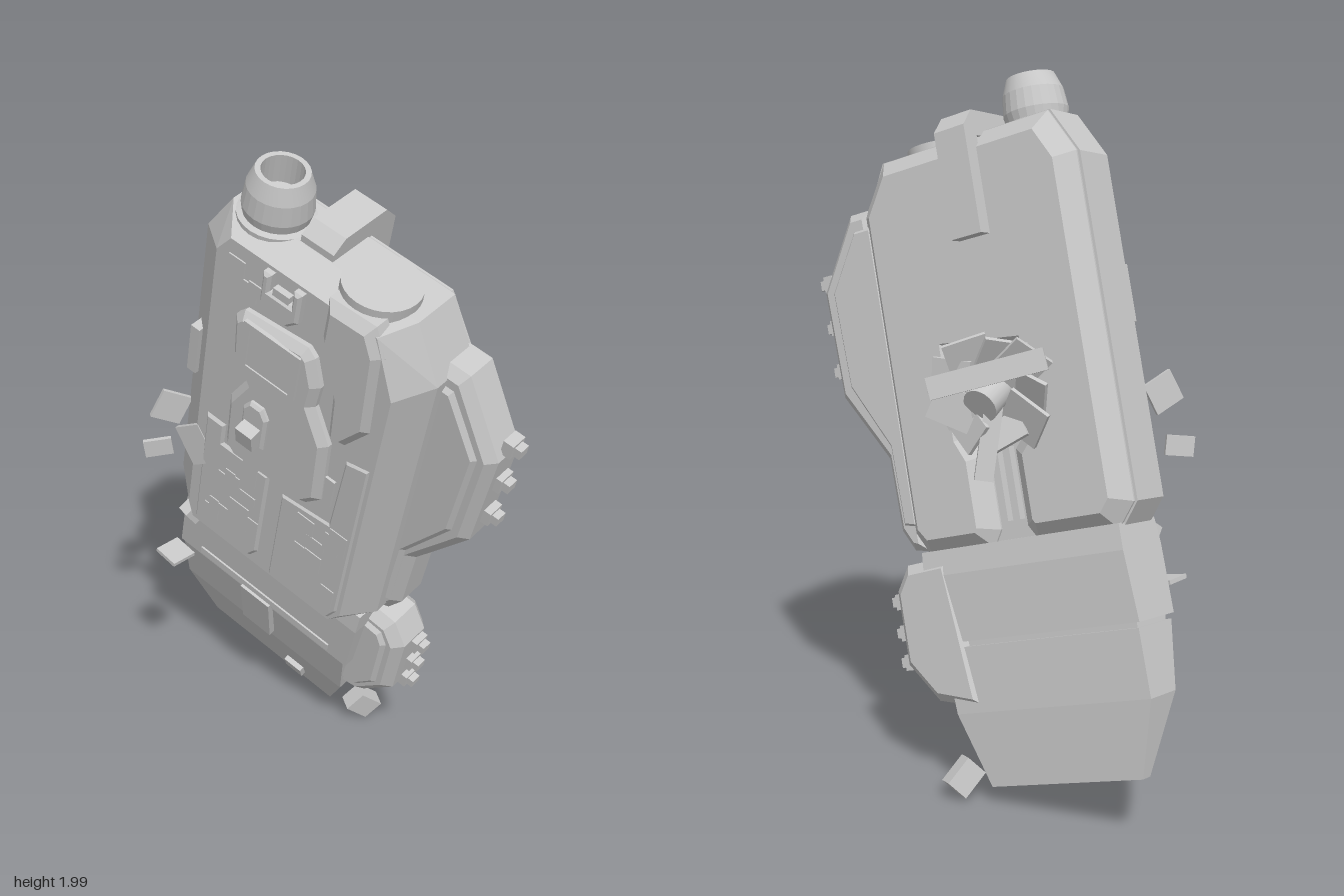
import * as THREE from 'three';
import { toCreasedNormals } from 'three/addons/utils/BufferGeometryUtils.js';
import { ConvexGeometry } from 'three/addons/geometries/ConvexGeometry.js';

export function createModel() {
  const gray = new THREE.MeshStandardMaterial({ color: 0xc8c8c8 });
  gray.name = 'plain gray';
  const model = new THREE.Group();
  model.name = 'brokenHandset';

  // The device is built upright (x width, y length, z thickness), then leaned.
  const device = new THREE.Group();
  device.name = 'device';
  const W = new THREE.Vector3(0.753, -0.282, 0.595).normalize();
  const U = new THREE.Vector3(0.124, 0.95, 0.285).normalize();
  const N = W.clone().cross(U).normalize();
  U.copy(N).cross(W);
  device.quaternion.setFromRotationMatrix(new THREE.Matrix4().makeBasis(W, U, N));
  device.position.y = 1;
  model.add(device);
  const front = new THREE.Group();
  front.name = 'frontDetails';
  front.position.set(0.01, 0, 0.013);
  device.add(front);

  const add = (name, geo, parent = device) => {
    const m = new THREE.Mesh(geo, gray);
    m.name = name;
    parent.add(m);
    return m;
  };
  // Flat outline given thickness from z0 to z1 with a chamfer on both rims
  const slab = (name, pts, z0, z1, bevel = 0.012, parent = device) => {
    const shape = new THREE.Shape(pts.map(p => new THREE.Vector2(p[0], p[1])));
    const geo = new THREE.ExtrudeGeometry(shape, {
      depth: z1 - z0 - 2 * bevel, bevelEnabled: true, bevelThickness: bevel,
      bevelSize: bevel, bevelOffset: -bevel, bevelSegments: 1,
    });
    geo.translate(0, 0, z0 + bevel);
    return add(name, geo, parent);
  };
  const box = (name, w, h, d, x, y, z, rx = 0, ry = 0, rz = 0, parent = device) => {
    const m = add(name, new THREE.BoxGeometry(w, h, d), parent);
    m.position.set(x, y, z);
    m.rotation.set(rx, ry, rz);
    return m;
  };
  // Convex block from rows of [y, xMin, xMax, zMin, zMax]
  const block = (name, rows) => add(name, new ConvexGeometry(rows.flatMap(([y, a, b, c, d]) => [
    new THREE.Vector3(a, y, c), new THREE.Vector3(b, y, c),
    new THREE.Vector3(a, y, d), new THREE.Vector3(b, y, d)])));

  // Main casing: straight sides with a wide chamfer towards the front face
  const sides = [[-0.35, -0.29], [0.26, -0.29], [0.325, -0.22], [0.325, 0.69],
    [0.235, 0.84], [-0.34, 0.84], [-0.41, 0.71], [-0.41, -0.22]];
  const face = [[-0.28, -0.26], [0.23, -0.26], [0.265, -0.21], [0.265, 0.66],
    [0.19, 0.82], [-0.26, 0.82], [-0.3, 0.76], [-0.3, -0.21]];
  add('casing', new ConvexGeometry([[sides, -0.05], [sides, 0.09], [face, 0.185]]
    .flatMap(([pts, z]) => pts.map(p => new THREE.Vector3(p[0], p[1], z)))));

  // Back cover with a broken pocket and slot
  slab('backCover', [[-0.35, -0.285], [-0.1, -0.285], [-0.07, -0.24], [-0.07, -0.03], [-0.12, 0.02],
    [-0.12, 0.22], [0.05, 0.24], [0.05, 0.03], [0.02, -0.03], [0.02, -0.24], [0.05, -0.285],
    [0.265, -0.285], [0.315, -0.22], [0.315, 0.7], [0.22, 0.835], [-0.34, 0.835], [-0.407, 0.71],
    [-0.407, -0.22]], -0.112, -0.01, 0.048);

  // Raised front panels
  slab('controlPanel', [[-0.215, 0.62], [-0.19, 0.65], [0.01, 0.67], [0.035, 0.65], [0.065, 0.57],
    [0.06, 0.5], [0.12, 0.4], [0.13, 0.2], [0.085, 0.15], [-0.16, 0.14], [-0.195, 0.175],
    [-0.2, 0.34], [-0.155, 0.43], [-0.207, 0.5]], 0.15, 0.205, 0.02, front);
  slab('cornerHousing', [[0.03, 0.84], [0.03, 0.72], [0.09, 0.56], [0.1, 0.42], [0.16, 0.42],
    [0.225, 0.52], [0.21, 0.77], [0.17, 0.845]], 0.1, 0.19, 0.025, front);
  slab('lowerLeftPanel', [[-0.28, -0.24], [-0.07, -0.24], [-0.045, -0.2], [-0.045, 0.13],
    [-0.21, 0.13], [-0.21, 0.2], [-0.28, 0.2]], 0.15, 0.18, 0.01, front);
  slab('lowerRightPanel', [[0.0, -0.25], [0.22, -0.25], [0.245, -0.2], [0.245, 0.4], [0.17, 0.38],
    [0.16, 0.12], [0.0, 0.1]], 0.15, 0.178, 0.008, front);

  // Screen frame and screen
  const frame = new THREE.Shape([[-0.09, -0.065], [-0.075, -0.08], [0.075, -0.08], [0.09, -0.065],
    [0.09, 0.08], [-0.09, 0.08]].map(p => new THREE.Vector2(...p)));
  frame.holes.push(new THREE.Path([[-0.07, -0.06], [0.07, -0.06], [0.07, 0.06], [-0.07, 0.06]]
    .map(p => new THREE.Vector2(...p))));
  add('screenFrame', new THREE.ExtrudeGeometry(frame, { depth: 0.012, bevelEnabled: false }), front)
    .position.set(-0.08, 0.565, 0.2);
  box('screen', 0.14, 0.12, 0.006, -0.08, 0.565, 0.205, 0, 0, 0, front);

  // Slide switch and top bracket
  slab('switchBase', [[-0.135, 0.26], [-0.055, 0.26], [-0.055, 0.37], [-0.075, 0.4],
    [-0.115, 0.4], [-0.135, 0.37]], 0.195, 0.22, 0.008, front);
  box('switchKnob', 0.055, 0.06, 0.04, -0.095, 0.3, 0.23, 0.2, 0, 0, front);
  slab('topBracket', [[-0.15, 0.72], [-0.12, 0.69], [-0.06, 0.69], [-0.03, 0.72], [-0.03, 0.81],
    [-0.055, 0.81], [-0.055, 0.76], [-0.125, 0.76], [-0.125, 0.81], [-0.15, 0.81]], 0.15, 0.195, 0.008, front);
  box('bracketPin', 0.05, 0.07, 0.03, -0.09, 0.745, 0.175, 0, 0, 0, front);

  // Antenna stub and round cap
  const stub = [[0.1, 0.805], [0.1, 0.84], [0.086, 0.845], [0.091, 0.87], [0.085, 0.925],
    [0.068, 0.97], [0.054, 0.97], [0.054, 0.89], [0.001, 0.89]].map(p => new THREE.Vector2(...p));
  add('antennaStub', toCreasedNormals(new THREE.LatheGeometry(stub, 24), 0.25))
    .position.set(-0.235, 0, 0.05);
  add('roundCap', new THREE.CylinderGeometry(0.1, 0.1, 0.06, 28)).position.set(0.107, 0.835, 0.07);

  // Clip bent over the top and down the back
  const clip = new THREE.Shape([[0.085, 0.82], [0.085, 0.86], [0.045, 0.89], [-0.11, 0.89], [-0.155, 0.845],
    [-0.155, 0.55], [-0.1, 0.55], [-0.1, 0.82]].map(p => new THREE.Vector2(...p)));
  const clipGeo = new THREE.ExtrudeGeometry(clip, { depth: 0.1, bevelEnabled: false });
  clipGeo.rotateY(-Math.PI / 2);
  add('beltClip', clipGeo).position.x = -0.03;

  // Side grips with rows of studs
  slab('upperGrip', [[0.27, -0.27], [0.325, -0.26], [0.36, -0.2], [0.365, 0.01], [0.495, 0.21],
    [0.505, 0.52], [0.37, 0.72], [0.29, 0.72]], -0.085, 0.052, 0.025);
  slab('upperGripRidge', [[0.28, -0.2], [0.335, -0.19], [0.34, 0.04], [0.45, 0.23],
    [0.46, 0.51], [0.35, 0.67], [0.28, 0.67]], -0.092, 0.064, 0.012);
  slab('lowerGrip', [[0.16, -0.72], [0.32, -0.69], [0.41, -0.58], [0.41, -0.37], [0.36, -0.3],
    [0.2, -0.29]], -0.09, 0.058, 0.028);
  slab('lowerGripPad', [[0.22, -0.66], [0.31, -0.64], [0.365, -0.57], [0.365, -0.38], [0.34, -0.34],
    [0.22, -0.33]], 0.04, 0.07, 0.012);
  const studs = (x, z, ys) => ys.forEach(y => {
    box('studBase', 0.03, 0.045, 0.05, x, y, z);
    box('studTip', 0.025, 0.028, 0.032, x + 0.022, y, z);
  });
  studs(0.505, -0.02, [0.55, 0.42, 0.29]);
  studs(0.415, -0.03, [-0.4, -0.49, -0.575]);

  // Foot: upper collar, tapered toe, strap and button
  block('footCollar', [[-0.27, -0.36, 0.29, -0.08, 0.11], [-0.34, -0.365, 0.29, -0.088, 0.115],
    [-0.53, -0.375, 0.28, -0.082, 0.105]]);
  block('footWaist', [[-0.52, -0.36, 0.25, -0.07, 0.085], [-0.6, -0.36, 0.25, -0.07, 0.075]]);
  block('footToe', [[-0.545, -0.37, 0.265, -0.082, 0.095], [-0.73, -0.37, 0.255, -0.078, 0.055],
    [-0.94, -0.295, 0.19, -0.058, -0.02]]);
  box('footStrap', 0.11, 0.19, 0.03, -0.065, -0.6, 0.088, 0.2);
  box('footButton', 0.065, 0.05, 0.03, 0.06, -0.86, 0.01, 0.35);
  box('collarLip', 0.5, 0.025, 0.02, -0.04, -0.5, 0.103);

  // Chipped skin plates scattered on the front
  let seed = 11;
  const rnd = () => (seed = (seed * 16807) % 2147483647) / 2147483647;
  for (let i = 0; i < 20; i++) {
    const left = i % 2 === 0;
    const x = left ? -0.22 + rnd() * 0.13 : 0.03 + rnd() * 0.18;
    box('skinChip', 0.03 + rnd() * 0.05, 0.03 + rnd() * 0.07, 0.008, x,
      -0.18 + rnd() * (left ? 0.28 : 0.5), left ? 0.179 : 0.177, 0, 0, 0, front);
  }
  for (let i = 0; i < 5; i++)
    box('cornerChip', 0.03 + rnd() * 0.04, 0.03 + rnd() * 0.03, 0.008, -0.25 + rnd() * 0.08,
      0.67 + rnd() * 0.08, 0.172, 0, 0, 0, front);
  box('edgeFlap', 0.03, 0.16, 0.05, -0.365, 0.34, 0.13);

  // Torn core bursting out of the back pocket
  const core = new THREE.Group();
  core.name = 'tornCore';
  core.position.set(0.055, 1.17, -0.155);
  core.rotation.y = -0.35;
  model.add(core);
  const hub = add('coreTube', toCreasedNormals(new THREE.CylinderGeometry(0.05, 0.05, 0.13, 16), 0.6), core);
  hub.rotation.set(1.1, 0, 0.3);
  for (let i = 0; i < 9; i++) {
    const petal = new THREE.Group();
    petal.name = 'petal';
    petal.rotation.z = i * Math.PI / 4.5 + 0.3 * rnd();
    core.add(petal);
    box('shard', 0.12, 0.08 + rnd() * 0.06, 0.012, 0, 0.11, -0.02,
      rnd() * 1.2 - 0.6, rnd() * 1.2 - 0.6, rnd() - 0.5, petal);
  }
  box('coreBeam', 0.32, 0.06, 0.015, 0.0, 0.06, -0.06, 0.2, 0.1, -0.3, core);
  box('coreBlock', 0.12, 0.1, 0.05, 0.1, -0.04, -0.02, 0, 0.2, 0.4, core);
  box('coreArm', 0.05, 0.2, 0.03, 0.0, -0.13, -0.04, 0.15, 0.3, 0.1, core);
  for (const x of [-0.045, -0.005]) box('slotRail', 0.02, 0.2, 0.03, x, -0.12, -0.06);

  // Loose fragments around the body: size, position, rotation
  [[0.09, 0.09, 0.012, -0.41, 1.155, -0.13, 0.1, 0.3, -0.5],
    [0.08, 0.055, 0.012, -0.455, 1.01, -0.15, 0.1, 0.1, 0.1],
    [0.08, 0.012, 0.08, -0.425, 0.635, -0.16, 0.3, 0.75, -0.2],
    [0.07, 0.06, 0.04, -0.36, 0.78, -0.18, 0.2, 0.6, 0.5],
    [0.09, 0.12, 0.012, -0.335, 1.1, -0.02, 0.1, -0.6, 0.5],
    [0.07, 0.09, 0.05, 0.135, 0.07, -0.14, 0.2, 0.3, 0.75]]
    .forEach(f => box('fragment', ...f, model));

  return model;
}
